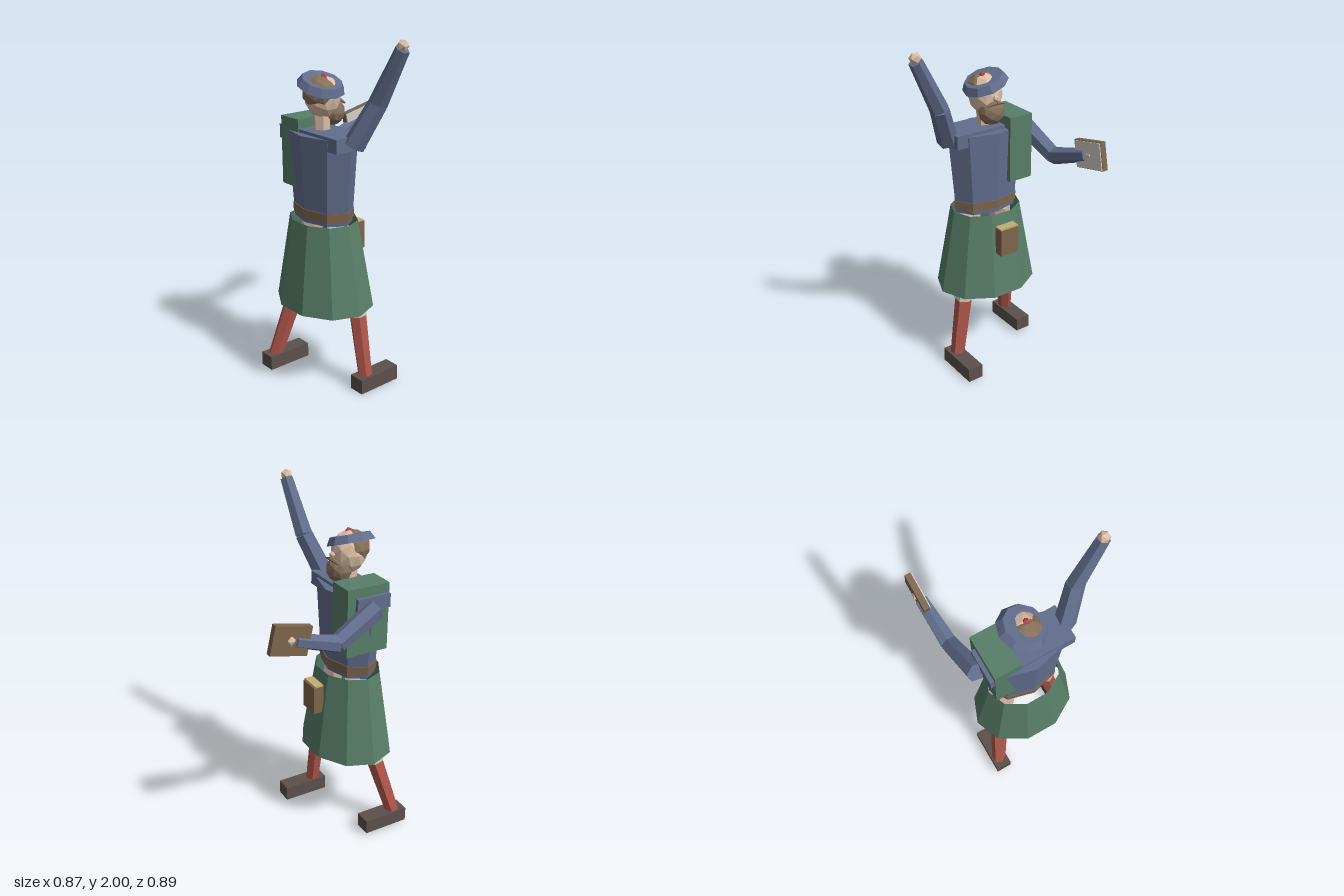
import * as THREE from 'three';

const V = (x, y, z) => new THREE.Vector3(x, y, z);
const mat = (name, color, side = THREE.FrontSide) => {
  const m = new THREE.MeshStandardMaterial({ color, side });
  m.name = name;
  return m;
};

export function createModel() {
  const model = new THREE.Group();
  model.name = 'wavingFigure';

  const blue = mat('blueCloth', 0x626e8e);
  const green = mat('greenCloth', 0x587e68, THREE.DoubleSide);
  const sockRed = mat('sockRed', 0xb2574c);
  const shoeBrown = mat('shoeBrown', 0x5c504c);
  const leather = mat('leather', 0x7d664d);
  const hairBrown = mat('hairBrown', 0x86705a);
  const skin = mat('skin', 0xdcbfa8);
  const cream = mat('cream', 0xd2d0c8);
  const tan = mat('tan', 0xc4ae76);
  const pomRed = mat('pomRed', 0xb04448);

  // Faceted mesh helper
  const add = (name, geometry, material, pos, parent = model) => {
    const g = geometry.index ? geometry.toNonIndexed() : geometry;
    g.computeVertexNormals();
    const mesh = new THREE.Mesh(g, material);
    mesh.name = name;
    mesh.position.copy(pos);
    parent.add(mesh);
    return mesh;
  };
  // Box given by its minimum and maximum corners
  const box = (name, material, a, b) => add(name,
    new THREE.BoxGeometry(b.x - a.x, b.y - a.y, b.z - a.z), material, a.clone().add(b).multiplyScalar(0.5));
  // Six-sided tapered limb between two points
  const limb = (name, material, a, b, ra, rb) => {
    const d = b.clone().sub(a);
    const m = add(name, new THREE.CylinderGeometry(rb, ra, d.length(), 6), material,
      a.clone().add(b).multiplyScalar(0.5));
    m.quaternion.setFromUnitVectors(V(0, 1, 0), d.normalize());
    return m;
  };
  // Elliptical tapered ring: [rx, rz] at top and bottom
  const taper = (name, material, sides, start, y0, y1, bottom, top, open = false) => {
    const g = new THREE.CylinderGeometry(1, 1, y1 - y0, sides, 1, open, start);
    const p = g.attributes.position;
    for (let i = 0; i < p.count; i++) {
      const [rx, rz] = p.getY(i) > 0 ? top : bottom;
      p.setX(i, p.getX(i) * rx);
      p.setZ(i, p.getZ(i) * rz);
    }
    return add(name, g, material, V(-0.085, (y0 + y1) / 2, 0.207));
  };
  const ball = (name, material, r, detail, pos, scale = V(1, 1, 1)) => {
    const m = add(name, new THREE.IcosahedronGeometry(r, detail), material, pos);
    m.scale.copy(scale);
    return m;
  };

  // Legs: shoe, sock, cuff and thigh
  const legs = [
    { side: 'right', ankle: V(-0.355, 0.08, 0.378), knee: V(-0.288, 0.44, 0.28), hip: V(-0.18, 0.96, 0.2),
      shoe: [V(-0.4, 0.017, 0.17), V(-0.305, 0.1, 0.443)] },
    { side: 'left', ankle: V(0.18, 0.07, 0.13), knee: V(0.122, 0.45, 0.137), hip: V(0.03, 0.96, 0.2),
      shoe: [V(0.135, 0, -0.073), V(0.23, 0.087, 0.2)] },
  ];
  for (const { side, ankle, knee, hip, shoe } of legs) {
    const up = knee.clone().sub(ankle).normalize();
    const cuffTop = knee.clone().addScaledVector(up, 0.065);
    box(side + 'Shoe', shoeBrown, ...shoe);
    limb(side + 'Sock', sockRed, ankle, knee, 0.042, 0.05);
    limb(side + 'SockCuff', cream, knee.clone().addScaledVector(up, -0.01), cuffTop, 0.053, 0.058);
    limb(side + 'Thigh', skin, knee, hip, 0.048, 0.065);
  }

  // Skirt, torso, belt and shoulders
  taper('skirt', green, 10, Math.PI / 10, 0.49, 0.99, [0.31, 0.25], [0.215, 0.173], true);
  taper('torso', blue, 8, 0, 0.985, 1.47, [0.2, 0.127], [0.245, 0.148]);
  taper('belt', leather, 8, 0, 1.01, 1.06, [0.21, 0.133], [0.212, 0.135]);
  box('shoulderYoke', blue, V(-0.33, 1.41, 0.11), V(0.16, 1.487, 0.31));

  // Pack and belt pouch
  box('backpack', green, V(-0.307, 1.157, 0.062), V(-0.157, 1.54, 0.315));
  box('pouch', leather, V(-0.145, 0.76, -0.042), V(-0.025, 0.922, 0.017));
  box('pouchFlap', tan, V(-0.145, 0.922, -0.035), V(-0.025, 0.931, 0.017));

  // Head, hair and beard
  limb('neck', skin, V(-0.085, 1.44, 0.207), V(-0.085, 1.6, 0.207), 0.046, 0.046);
  ball('head', skin, 0.1, 1, V(-0.085, 1.66, 0.2), V(0.95, 1.16, 1));
  ball('hair', hairBrown, 0.1, 1, V(-0.085, 1.685, 0.222), V(0.98, 0.92, 0.92));
  ball('beard', hairBrown, 0.076, 1, V(-0.085, 1.573, 0.14), V(1, 1, 0.9));
  for (const s of [-1, 1]) {
    limb('moustache', hairBrown, V(-0.085, 1.635, 0.095), V(-0.085 + s * 0.06, 1.622, 0.1), 0.014, 0.005);
  }
  ball('nose', skin, 0.018, 0, V(-0.085, 1.66, 0.098));

  // Tilted cap with pompom
  const cap = add('cap', new THREE.CylinderGeometry(0.11, 0.133, 0.042, 10, 1, false, Math.PI / 10),
    blue, V(-0.085, 1.73, 0.207));
  cap.rotation.z = -0.35;
  ball('pompom', pomRed, 0.019, 0, V(-0.07, 1.768, 0.205));

  // Raised arm
  const lElbow = V(0.262, 1.665, 0.12), lWrist = V(0.408, 1.95, 0.092);
  limb('leftUpperArm', blue, V(0.165, 1.44, 0.2), lElbow, 0.06, 0.052);
  limb('leftForearm', blue, lElbow, lWrist, 0.052, 0.038);
  ball('leftHand', skin, 0.033, 0, V(0.41, 1.968, 0.092));

  // Forward arm holding a board
  const rElbow = V(-0.383, 1.302, -0.045), rWrist = V(-0.403, 1.388, -0.3);
  limb('rightUpperArm', blue, V(-0.35, 1.43, 0.205), rElbow, 0.058, 0.05);
  limb('rightForearm', blue, rElbow, rWrist, 0.05, 0.037);
  ball('rightHand', skin, 0.032, 0, V(-0.408, 1.4, -0.328));

  const book = new THREE.Group();
  book.name = 'book';
  book.position.set(-0.408, 1.4, -0.328);
  book.rotation.x = 0.22;
  model.add(book);
  add('bookCover', new THREE.BoxGeometry(0.034, 0.157, 0.21), leather, V(0, 0, 0), book);
  add('bookPage', new THREE.BoxGeometry(0.007, 0.149, 0.202), cream, V(0.019, 0, 0), book);

  return model;
}
